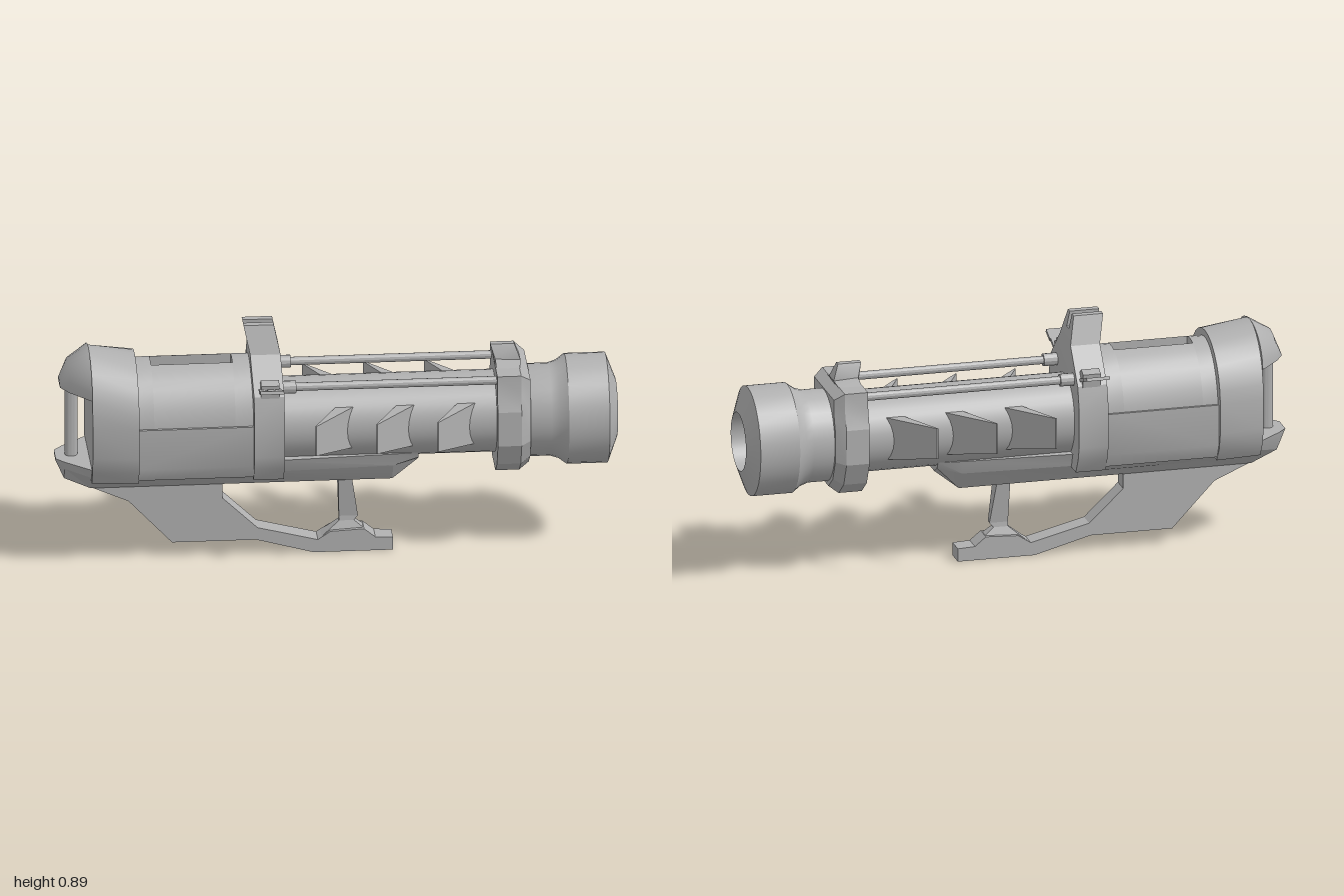
import * as THREE from 'three';
import { toCreasedNormals } from 'three/addons/utils/BufferGeometryUtils.js';
import { ConvexGeometry } from 'three/addons/geometries/ConvexGeometry.js';

export function createModel() {
  const model = new THREE.Group();
  const grey = new THREE.MeshStandardMaterial({ color: 0xb0b0b0 });

  const add = (name, geometry, crease = 0.5) => {
    const mesh = new THREE.Mesh(toCreasedNormals(geometry, crease), grey);
    mesh.name = name;
    model.add(mesh);
    return mesh;
  };
  const shapeOf = (pts) => new THREE.Shape(pts.map((p) => new THREE.Vector2(...p)));
  // Half outline [z, y] from top to bottom, mirrored to a closed one
  const mirrored = (half) => [...half, ...half.slice().reverse().map(([z, y]) => [-z, y])];
  // Outline [z, y] extruded along x
  const extrudeX = (pts, x0, x1) =>
    new THREE.ExtrudeGeometry(shapeOf(pts.map(([z, y]) => [-z, y])), { depth: x1 - x0, bevelEnabled: false })
      .rotateY(Math.PI / 2).translate(x0, 0, 0);
  // Outline [x, y] extruded across z, centred
  const extrudeZ = (pts, width) =>
    new THREE.ExtrudeGeometry(shapeOf(pts), { depth: width, bevelEnabled: false }).translate(0, 0, -width / 2);
  // Profile [x, r] turned around the x axis
  const latheX = (pts, y, segments = 32) =>
    new THREE.LatheGeometry(pts.map(([x, r]) => new THREE.Vector2(r, x)), segments)
      .rotateZ(-Math.PI / 2).translate(0, y, 0);
  // Rings of [z, y] at rising x, skinned and capped
  const loft = (rings) => {
    const n = rings[0].pts.length, pos = [], idx = [];
    rings.forEach(({ x, pts }) => pts.forEach(([z, y]) => pos.push(x, y, z)));
    for (let i = 0; i < rings.length - 1; i++) {
      for (let j = 0; j < n; j++) {
        const a = i * n + j, b = i * n + (j + 1) % n;
        idx.push(a, a + n, b, b, a + n, b + n);
      }
    }
    const last = (rings.length - 1) * n;
    for (let j = 1; j < n - 1; j++) {
      idx.push(0, j, j + 1, last, last + j + 1, last + j);
    }
    const g = new THREE.BufferGeometry();
    g.setAttribute('position', new THREE.Float32BufferAttribute(pos, 3));
    g.setIndex(idx);
    return g;
  };
  const hull = (pts) => new ConvexGeometry(pts.map((p) => new THREE.Vector3(...p)));
  // Elliptical arch above height base
  const arch = (w, top, base, n = 14) => Array.from({ length: n + 1 }, (_, i) => {
    const a = (i / n) * Math.PI;
    return [w * Math.cos(a), base + (top - base) * Math.sin(a)];
  });

  // Muzzle: oval outside, round bore
  const muzzle = latheX([[0.6, 0.15], [0.64, 0.168], [0.76, 0.168], [0.79, 0.178], [0.82, 0.2], [0.965, 0.2],
    [1, 0.106], [0.74, 0.106], [0.74, 0]], 0.512);
  const mp = muzzle.attributes.position;
  for (let i = 0; i < mp.count; i++) {
    if (Math.hypot(mp.getY(i) - 0.512, mp.getZ(i)) > 0.11) mp.setZ(i, mp.getZ(i) * 0.9);
  }
  add('muzzle', muzzle);

  // Barrel
  add('barrel', latheX([[-0.25, 0], [-0.25, 0.147], [0.6, 0.147], [0.6, 0]], 0.515));

  // Front collar, bevelled toward the muzzle, with its sight bead
  const collar = (s) => mirrored([[0.1, 0.71], [0.157, 0.71], [0.16, 0.64], [0.18, 0.58], [0.18, 0.45],
    [0.14, 0.365], [0.07, 0.312]]).map(([z, y]) => [z * s, 0.512 + (y - 0.512) * s]).reverse();
  add('frontCollar', loft([{ x: 0.565, pts: collar(1) }, { x: 0.65, pts: collar(1) }, { x: 0.685, pts: collar(0.87) }]), 0.3);
  const bead = [];
  for (const s of [-1, 1]) {
    bead.push([0.552, 0.775, s * 0.012], [0.637, 0.775, s * 0.012], [0.568, 0.725, s * 0.032],
      [0.658, 0.72, s * 0.032], [0.568, 0.705, s * 0.1], [0.65, 0.705, s * 0.1]);
  }
  add('frontSight', hull(bead.filter((p) => Math.abs(p[2]) < 0.05).concat([[0.568, 0.7, 0.03], [0.568, 0.7, -0.03],
    [0.65, 0.7, 0.03], [0.65, 0.7, -0.03]])));
  add('frontSightBase', hull(bead.filter((p) => p[1] < 0.73)));

  // Middle collar rising into the notched rear sight, which leans back
  const mid = extrudeX(mirrored([[0.014, 0.835], [0.014, 0.89], [0.04, 0.89], [0.075, 0.79], [0.19, 0.675],
    [0.21, 0.595], [0.21, 0.45], [0.195, 0.4], [0.163, 0.345], [0.08, 0.345]]), -0.305, -0.197);
  const cp = mid.attributes.position;
  for (let i = 0; i < cp.count; i++) {
    cp.setX(i, cp.getX(i) - Math.max(0, cp.getY(i) - 0.77) * 0.21);
  }
  add('middleCollar', mid, 0.3);

  // Mirrored side details
  for (const s of [-1, 1]) {
    // Forked clips on the middle collar
    add('clipBase', extrudeX([[0.13, 0.69], [0.145, 0.712], [0.17, 0.732], [0.198, 0.72], [0.192, 0.67]]
      .map(([z, y]) => [s * z, y]), -0.28, -0.215));
    for (const [x, w, len, z] of [[-0.248, 0.085, 0.055, 0.257], [-0.277, 0.02, 0.07, 0.2],
      [-0.248, 0.02, 0.07, 0.2], [-0.219, 0.02, 0.07, 0.2]]) {
      const clip = add('clipPlate', new THREE.BoxGeometry(w, 0.012, len));
      clip.position.set(x, 0.722 + (z - 0.257) * 0.35, s * z);
      clip.rotation.x = -s * 0.337;
    }
    // Rods above the barrel with end sleeves
    add('rod', latheX([[-0.22, 0], [-0.22, 0.015], [0.58, 0.015], [0.58, 0]], 0.68, 12)).position.z = s * 0.116;
    add('rodSleeve', latheX([[-0.2, 0], [-0.2, 0.023], [-0.15, 0.023], [-0.15, 0]], 0.68, 12)).position.z = s * 0.116;
    // Swept fins
    for (let i = 0; i < 3; i++) {
      const x = i * 0.2175;
      add('fin', hull([[-0.095, 0.597, 0.285], [-0.095, 0.483, 0.285], [-0.09, 0.597, 0.285], [-0.09, 0.483, 0.285],
        [-0.01, 0.597, 0.12], [0.055, 0.597, 0.12], [0.02, 0.44, 0.12], [0.055, 0.44, 0.12]]
        .map(([a, b, c]) => [a + x, b, s * c])));
    }
    // Flat panels along the rear body
    add('sidePanel', hull([0.36, 0.562].flatMap((y) => [[-0.73, y], [-0.3, y]]).flatMap(([a, y]) =>
      [[a, y, s * 0.13], [a, y, s * (y < 0.4 ? 0.17 : 0.192)], [a, 0.41, s * 0.192]])));
  }

  // Rear body with a slot sunk in the top
  const ring = Array.from({ length: 36 }, (_, i) => {
    const a = Math.PI / 2 + ((i + 0.5) / 36) * Math.PI * 2;
    return [0.185 * Math.cos(a), 0.525 + 0.23 * Math.sin(a)];
  });
  const slotted = [...ring.filter(([z, y]) => y < 0.6 || Math.abs(z) > 0.042),
    [0.04, 0.75], [0.04, 0.705], [-0.04, 0.705], [-0.04, 0.75]];
  add('rearBodyBack', extrudeX(ring, -0.75, -0.66));
  add('rearBodySlotted', extrudeX(slotted, -0.66, -0.37));
  add('rearBodyFront', extrudeX(ring, -0.37, -0.28));

  // Rear hood and its overhanging tail
  const hood = (w, top) => [...arch(w, top, 0.57), [-w, 0.46], [-w * 0.93, 0.4], [-w * 0.76, 0.345],
    [w * 0.76, 0.345], [w * 0.93, 0.4], [w, 0.46]];
  add('rearHood', loft([{ x: -0.88, pts: hood(0.192, 0.808) }, { x: -0.715, pts: hood(0.214, 0.78) }]));
  add('hoodTail', loft([{ x: -0.985, pts: arch(0.045, 0.69, 0.676) }, { x: -0.955, pts: arch(0.095, 0.765, 0.676) },
    { x: -0.88, pts: arch(0.18, 0.808, 0.676) }]), 0.7);
  const post = add('rearPost', new THREE.CylinderGeometry(0.023, 0.023, 0.3, 14));
  post.position.set(-0.942, 0.535, 0);

  // Keel below the body, pointed at the rear and bevelled at the front
  const keel = (w, top, mid2, low, wl) => [[w, top], [-w, top], [-w * 0.85, mid2], [-wl, low], [wl, low], [w * 0.85, mid2]];
  add('keel', loft([
    { x: -1, pts: keel(0.04, 0.4, 0.395, 0.39, 0.03) },
    { x: -0.97, pts: keel(0.075, 0.4, 0.37, 0.322, 0.035) },
    { x: -0.875, pts: keel(0.16, 0.4, 0.36, 0.28, 0.037) },
    { x: -0.72, pts: keel(0.16, 0.4, 0.36, 0.28, 0.037) },
    { x: -0.25, pts: keel(0.125, 0.4, 0.35, 0.28, 0.037) },
    { x: 0.2, pts: keel(0.1, 0.4, 0.35, 0.28, 0.037) },
    { x: 0.29, pts: keel(0.09, 0.4, 0.375, 0.352, 0.035) },
  ]), 0.3);

  // Grip with the hand guard sweeping forward
  add('grip', extrudeZ([[-0.9, 0.295], [-0.74, 0.225], [-0.585, 0.06], [-0.285, 0.06], [-0.08, 0.004], [0.203, 0.004],
    [0.203, 0.052], [0.14, 0.055], [0.1, 0.088], [-0.02, 0.082], [-0.065, 0.052], [-0.28, 0.106], [-0.405, 0.225],
    [-0.405, 0.295]], 0.074));
  // Guard strut, waisted in the middle
  const strut = [[0.3, 0.008, 0.055, 0.032], [0.13, 0.012, 0.08, 0.011], [0.113, 0.012, 0.066, 0.013], [0.05, -0.065, 0.145, 0.036]];
  for (let i = 0; i < 3; i++) {
    add('guardStrut', hull([strut[i], strut[i + 1]].flatMap(([y, x0, x1, w]) =>
      [[x0, y, w], [x1, y, w], [x0, y, -w], [x1, y, -w]])));
  }
  return model;
}
